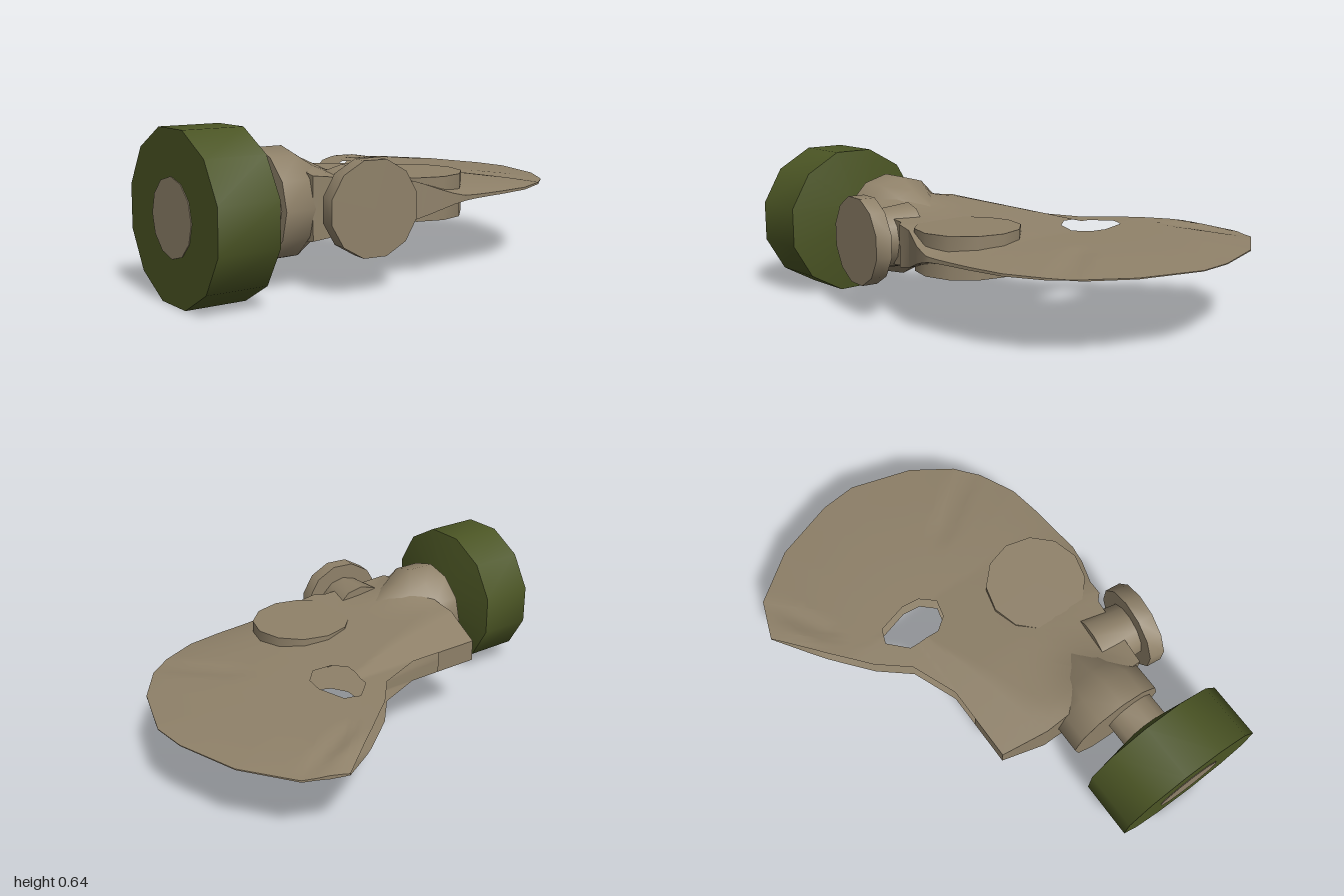
import * as THREE from 'three';
import { toCreasedNormals } from 'three/addons/utils/BufferGeometryUtils.js';

const MID = 0.32; // height of the mask's symmetry plane
const { smoothstep, clamp, lerp } = THREE.MathUtils;

// Plan outlines (x, z) of the flattened face piece and its eye hole
const OUTLINE = [[-0.45, -0.2], [-0.11, -0.2], [0.09, -0.28], [0.2, -0.41], [0.37, -0.55], [0.58, -0.705],
  [0.75, -0.64], [0.9, -0.43], [0.985, -0.16], [0.998, 0], [0.915, 0.27], [0.8, 0.44], [0.7, 0.52],
  [0.54, 0.595], [0.38, 0.62], [0.15, 0.64], [0.06, 0.62], [-0.05, 0.575], [-0.12, 0.57], [-0.15, 0.54],
  [-0.48, 0.5], [-0.49, 0]];
const EYE = [[0.25, -0.315], [0.315, -0.29], [0.35, -0.16], [0.34, -0.08], [0.285, -0.02], [0.205, -0.04],
  [0.16, -0.1], [0.17, -0.24]];
const EYE_X = 0.25, EYE_Z = -0.165;

// Piecewise linear lookup
function ramp(v, stops) {
  if (v <= stops[0][0]) return stops[0][1];
  for (let i = 1; i < stops.length; i++) {
    const [a, p] = stops[i - 1], [b, q] = stops[i];
    if (v <= b) return lerp(p, q, (v - a) / (b - a));
  }
  return stops[stops.length - 1][1];
}

// Distance from the eye centre to a closed outline along an angle
function reach(points, angle) {
  const dx = Math.cos(angle), dz = Math.sin(angle);
  let best = 0;
  points.forEach(([x, z], i) => {
    const [x2, z2] = points[(i + 1) % points.length];
    const ax = x - EYE_X, az = z - EYE_Z, ex = x2 - x, ez = z2 - z;
    const det = dx * ez - dz * ex;
    if (Math.abs(det) < 1e-9) return;
    const r = (ax * ez - az * ex) / det;
    const s = (ax * dz - az * dx) / det;
    if (r > 0 && s > -1e-6 && s < 1 + 1e-6) best = Math.max(best, r);
  });
  return best;
}

// Narrow fold pressed into the rubber along a line
function fold(x, z, [ax, az], [bx, bz], width) {
  const ex = bx - ax, ez = bz - az;
  const s = clamp(((x - ax) * ex + (z - az) * ez) / (ex * ex + ez * ez), 0, 1);
  const d = Math.hypot(x - ax - ex * s, z - az - ez * s);
  return Math.max(0, 1 - d / width) * (0.3 + 0.7 * s);
}

// Half thickness of the face piece
function halfThickness(x, z) {
  const byX = ramp(x, [[-0.5, 0.12], [-0.1, 0.088], [0.3, 0.045], [1, 0.012]]);
  const byZ = ramp(z, [[-0.71, 0.002], [-0.56, 0.045], [-0.2, 0.047], [0, 0.11], [0.2, 0.12]]);
  const bulge = 0.06 * Math.exp(-(((x + 0.5) / 0.17) ** 2) - ((z - 0.29) / 0.14) ** 2);
  const folds = fold(x, z, [0.45, -0.49], [0.7, -0.63], 0.06) + fold(x, z, [0.55, 0.2], [0.75, 0.47], 0.07);
  return (Math.min(byX, byZ) + bulge) * (1 - 0.7 * Math.min(1, folds));
}

// Two sheets around the eye holes, joined at the rim and open along the back
function facePieceGeometry() {
  const rings = 16;
  const angles = [...OUTLINE, ...EYE].map(([x, z]) => Math.atan2(z - EYE_Z, x - EYE_X));
  for (let i = 0; i < 90; i++) angles.push(-Math.PI + (i / 90) * Math.PI * 2);
  angles.sort((a, b) => a - b);
  const steps = angles.filter((a, i) => i === 0 || a - angles[i - 1] > 1e-3);

  const sections = steps.map((a) => {
    const inner = reach(EYE, a), outer = reach(OUTLINE, a);
    const top = [], bottom = [];
    for (let i = 0; i <= rings; i++) {
      const t = i / rings, r = lerp(inner, outer, t);
      const x = EYE_X + r * Math.cos(a), z = EYE_Z + r * Math.sin(a);
      const pinch = smoothstep(x, -0.1, 0.2) * smoothstep(a, -1.05, -0.7);
      const h = halfThickness(x, z) * (1 - 0.85 * pinch * t ** 4);
      top.push([x, MID + h, z]);
      bottom.unshift([x, MID - h, z]);
    }
    return [...top, ...bottom];
  });

  const pos = [];
  sections.forEach((sec, j) => {
    const next = sections[(j + 1) % sections.length];
    const open = steps[j] > -3.09 && steps[j] < -1.03;
    for (let i = 0; i < sec.length - 1; i++) {
      if (open && i === rings) continue;
      pos.push(...sec[i], ...next[i], ...next[i + 1], ...sec[i], ...next[i + 1], ...sec[i + 1]);
    }
  });
  const geo = new THREE.BufferGeometry();
  geo.setAttribute('position', new THREE.Float32BufferAttribute(pos, 3));
  return toCreasedNormals(geo, 0.7);
}

// Twelve-sided turned part along x, from [radius, x] pairs
function turned(profile, turn = 0) {
  const geo = new THREE.LatheGeometry(profile.map(([r, x]) => new THREE.Vector2(r, x)), 12, turn);
  return toCreasedNormals(geo.rotateZ(-Math.PI / 2), 0.75);
}

export function createModel() {
  const model = new THREE.Group();
  const rubber = new THREE.MeshStandardMaterial({ color: 0x8f8169 });
  rubber.name = 'tan rubber';
  const sheet = new THREE.MeshStandardMaterial({ color: 0x8f8169, side: THREE.DoubleSide });
  sheet.name = 'tan rubber sheet';
  const olive = new THREE.MeshStandardMaterial({ color: 0x4b5524 });
  olive.name = 'olive green';

  const add = (name, geo, mat, x = 0, y = 0, z = 0, parent = model) => {
    const mesh = new THREE.Mesh(geo, mat);
    mesh.name = name;
    mesh.position.set(x, y, z);
    parent.add(mesh);
    return mesh;
  };

  add('facePiece', facePieceGeometry(), sheet);

  // Flat round cheek patches, one on each side
  const patch = new THREE.CylinderGeometry(0.22, 0.22, 0.175, 12);
  add('cheekPatches', toCreasedNormals(patch, 0.75), rubber, 0.085, MID, 0.375);

  // Filter canister with its neck and inlet
  const canister = turned([[0, -0.997], [0.332, -0.997], [0.332, -0.75], [0.11, -0.708], [0, -0.708]], Math.PI / 12);
  add('filterCanister', canister, olive, 0, MID, 0.365).scale.z = 1.03;
  add('filterInlet', turned([[0, -1], [0.15, -1], [0.15, -0.994]]), rubber, 0, MID, 0.365);
  add('filterNeck', turned([[0.113, -0.72], [0.113, -0.58]]), rubber, 0, MID, 0.365);

  // Filter socket blending into the face piece
  const socket = [[0, -0.605], [0.222, -0.605], [0.222, -0.485], [0.17, -0.4], [0.11, -0.27], [0, -0.15]];
  add('filterSocket', turned(socket), rubber, 0, MID, 0.29);

  // Exhale valve, turned slightly to the side
  const valve = new THREE.Group();
  valve.name = 'exhaleValve';
  valve.position.set(-0.305, 0.325, 0.625);
  valve.rotation.y = -0.118;
  model.add(valve);
  const disc = new THREE.CylinderGeometry(0.19, 0.19, 0.07, 12, 1, false, Math.PI / 12).rotateX(Math.PI / 2);
  add('valveDisc', toCreasedNormals(disc, 0.75), rubber, 0, 0, 0, valve);
  const stem = new THREE.CylinderGeometry(0.12, 0.14, 0.2, 12).rotateX(Math.PI / 2);
  add('valveStem', toCreasedNormals(stem, 0.75), rubber, 0, 0, -0.12, valve);

  return model;
}
